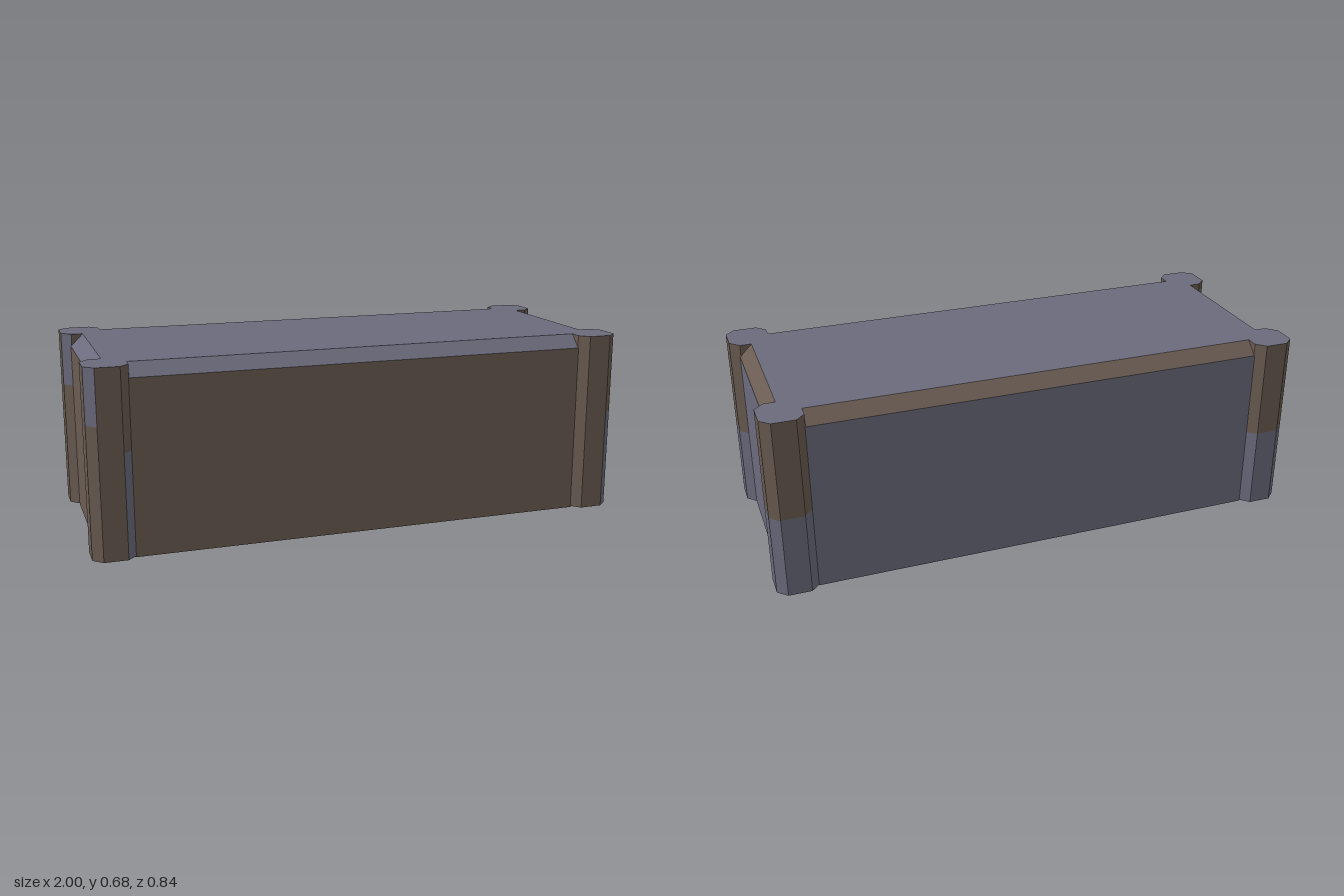
import * as THREE from 'three';

const slate = new THREE.MeshStandardMaterial({ color: 0x6b6b7d });
slate.name = 'slate';
const brown = new THREE.MeshStandardMaterial({ color: 0x6a5c52 });
brown.name = 'brown';
const S = 0, B = 1;
const TOP = 0.68;

// Collects flat polygons by colour and turns them into one two-material mesh.
function faceBuilder() {
  const lists = [[], []];
  return {
    face(color, pts) {
      for (let i = 1; i < pts.length - 1; i++) lists[color].push(...pts[0], ...pts[i], ...pts[i + 1]);
    },
    mesh(name) {
      const g = new THREE.BufferGeometry();
      g.setAttribute('position', new THREE.Float32BufferAttribute(lists.flat(), 3));
      g.addGroup(0, lists[S].length / 3, S);
      g.addGroup(lists[S].length / 3, lists[B].length / 3, B);
      g.computeVertexNormals();
      const m = new THREE.Mesh(g, [slate, brown]);
      m.name = name;
      return m;
    },
  };
}

const lift = (ring, y) => ring.map(([x, z]) => [x, y, z]);

// Box outline with cut corners, half sizes hx and hz, cut starting at cx and cz
const cutBox = (hx, hz, cx, cz) => [
  [hx, -cz], [hx, cz], [cx, hz], [-cx, hz], [-hx, cz], [-hx, -cz], [-cx, -hz], [cx, -hz],
];

// Main block with a bevelled upper rim
function makeBody() {
  const b = faceBuilder();
  const wide = cutBox(0.968, 0.387, 0.85, 0.265);
  const rings = [lift(wide, 0), lift(wide, 0.633), lift(cutBox(0.922, 0.34, 0.85, 0.267), TOP)];
  const sideColors = [S, S, B, S, B, S, S, S];
  const rimColors = [B, S, S, S, S, S, B, S];
  [sideColors, rimColors].forEach((colors, r) => {
    for (let i = 0; i < 8; i++) {
      const j = (i + 1) % 8;
      b.face(colors[i], [rings[r][i], rings[r + 1][i], rings[r + 1][j], rings[r][j]]);
    }
  });
  b.face(B, rings[0]);
  b.face(S, [...rings[2]].reverse());
  return b.mesh('body');
}

// Paint of a post face by its direction: [split height, lower colour, upper colour]
function postPaint(nx, nz, sx) {
  if (nx > 0.95) return [0.316, S, B];
  if (nz > 0.95 || nx < -0.95) return [0.34, B, B];
  if (nz < -0.95) return [0.312, S, B];
  if (nx > 0) return nz > 0 ? [0.383, S, B] : [0.31, S, B];
  if (nz < 0) return [0.316, S, B];
  return sx < 0 ? [0.48, B, S] : [0.34, B, B];
}

// Chamfered corner post, mirrored to each corner
const postOutline = [
  [1, 0.385], [0.965, 0.418], [0.88, 0.418], [0.848, 0.385],
  [0.848, 0.34], [0.922, 0.262], [0.965, 0.262], [1, 0.297],
];
function makePost(sx, sz, name) {
  const b = faceBuilder();
  const ring = postOutline.map(([x, z]) => [x * sx, z * sz]);
  if (sx * sz < 0) ring.reverse();
  const y0 = 0.004;
  ring.forEach((p, i) => {
    const q = ring[(i + 1) % ring.length];
    const dx = q[0] - p[0], dz = q[1] - p[1], len = Math.hypot(dx, dz);
    const [split, low, high] = postPaint(dz / len, -dx / len, sx);
    const band = (c, a, t) =>
      b.face(c, [[p[0], a, p[1]], [p[0], t, p[1]], [q[0], t, q[1]], [q[0], a, q[1]]]);
    band(low, y0, split);
    band(high, split, TOP);
  });
  b.face(B, lift(ring, y0));
  b.face(S, lift(ring, TOP).reverse());
  return b.mesh(name);
}

export function createModel() {
  const model = new THREE.Group();
  model.name = 'crate';
  model.add(makeBody());
  for (const sx of [1, -1])
    for (const sz of [1, -1])
      model.add(makePost(sx, sz, (sz > 0 ? 'front' : 'back') + (sx > 0 ? 'Left' : 'Right') + 'Post'));
  return model;
}
